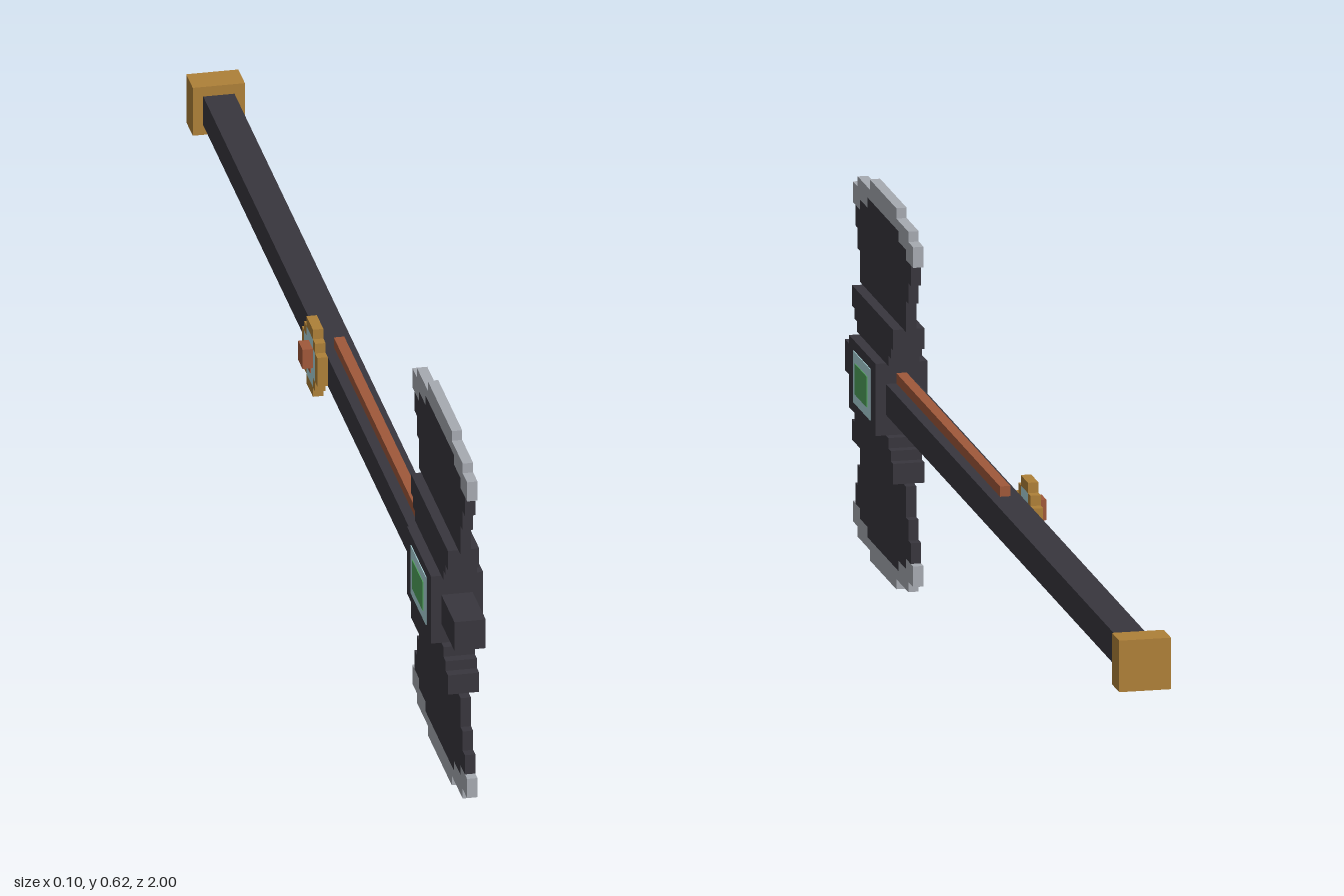
import * as THREE from 'three';

const U = 2 / 119; // size of one block; grid runs y 0..37, z 0..119

const mat = (name, color) => {
  const m = new THREE.MeshStandardMaterial({ color });
  m.name = name;
  return m;
};

export function createModel() {
  const dark = mat('dark iron', 0x38363d);
  const steel = mat('pale steel', 0xa6aab1);
  const gold = mat('gold', 0xae8038);
  const leather = mat('red brown', 0xa0583a);
  const ice = mat('pale blue', 0xacd6dc);
  const green = mat('green', 0x50a35c);

  const model = new THREE.Group();
  model.name = 'battleAxe';

  // box given by its limits in grid blocks
  const box = (parent, name, material, x0, x1, y0, y1, z0, z1) => {
    const g = new THREE.BoxGeometry((x1 - x0) * U, (y1 - y0) * U, (z1 - z0) * U);
    const m = new THREE.Mesh(g, material);
    m.name = name;
    m.position.set((x0 + x1) / 2 * U, (y0 + y1) / 2 * U, (z0 + z1) / 2 * U - 1);
    parent.add(m);
  };
  const group = (name) => {
    const g = new THREE.Group();
    g.name = name;
    model.add(g);
    return g;
  };

  // shaft, pommel and the strip along the top
  box(model, 'shaft', dark, -1, 2, 17, 20, 3, 118);
  box(model, 'pommel', gold, -2, 3, 16, 21, 0, 3);
  box(model, 'topStrip', leather, 0, 1, 20, 21, 58, 101);

  // head block with an inlaid gem on each cheek
  const head = group('head');
  box(head, 'headBlock', dark, -2, 3, 15, 22, 101, 112);
  const t = 0.08;
  for (const [name, x, s] of [['leftGem', 3, 1], ['rightGem', -2, -1]]) {
    const plate = (part, material, d, ...r) =>
      box(head, name + part, material, Math.min(x, x + s * d), Math.max(x, x + s * d), ...r);
    plate('Rim', ice, t, 16, 21, 103, 110);
    plate('Core', green, 2 * t, 17, 20, 104, 109);
  }

  // blade layers: [lower row, upper row, width, thick]
  const layers = [
    [22, 23, 13, true], [23, 24, 15, true], [24, 26, 17, true],
    [26, 29, 19, false], [29, 31, 21, false], [31, 33, 23, false],
    [33, 34, 19, false], [34, 35, 13, false],
  ];
  // cutting edge: [lower row, upper row, z start, z end]
  const edge = [
    [33, 34, 94, 97], [33, 34, 116, 119],
    [34, 35, 94, 100], [34, 35, 113, 119],
    [35, 36, 96, 117], [36, 37, 101, 112],
  ];
  for (const up of [true, false]) {
    const blade = group(up ? 'upperBlade' : 'lowerBlade');
    const rows = (a, b) => (up ? [a, b] : [37 - b, 37 - a]);
    for (const [a, b, w, thick] of layers) {
      box(blade, thick ? 'bladeRoot' : 'bladeFace', dark, thick ? -1 : 0, thick ? 2 : 1,
        ...rows(a, b), 106.5 - w / 2, 106.5 + w / 2);
    }
    for (const [a, b, z0, z1] of edge) box(blade, 'cuttingEdge', steel, 0, 1, ...rows(a, b), z0, z1);
  }

  // round medallion on the right of the shaft: [row, outer width, inner width]
  const medallion = group('medallion');
  const disc = [[15, 3, 0], [16, 5, 3], [17, 7, 5], [18, 7, 5], [19, 7, 5], [20, 5, 3], [21, 3, 0]];
  const c = 56.5;
  for (const [y, w, i] of disc) {
    if (i) {
      box(medallion, 'medallionRim', gold, -2, -1, y, y + 1, c - w / 2, c - i / 2);
      box(medallion, 'medallionRim', gold, -2, -1, y, y + 1, c + i / 2, c + w / 2);
      box(medallion, 'medallionFace', ice, -2, -1, y, y + 1, c - i / 2, c + i / 2);
    } else {
      box(medallion, 'medallionRim', gold, -2, -1, y, y + 1, c - w / 2, c + w / 2);
    }
  }
  // raised boss in the middle
  box(medallion, 'boss', leather, -3, -2, 18, 20, 56, 58);
  box(medallion, 'bossInlay', leather, -2 - t, -2, 17, 19, 55, 57);

  return model;
}
